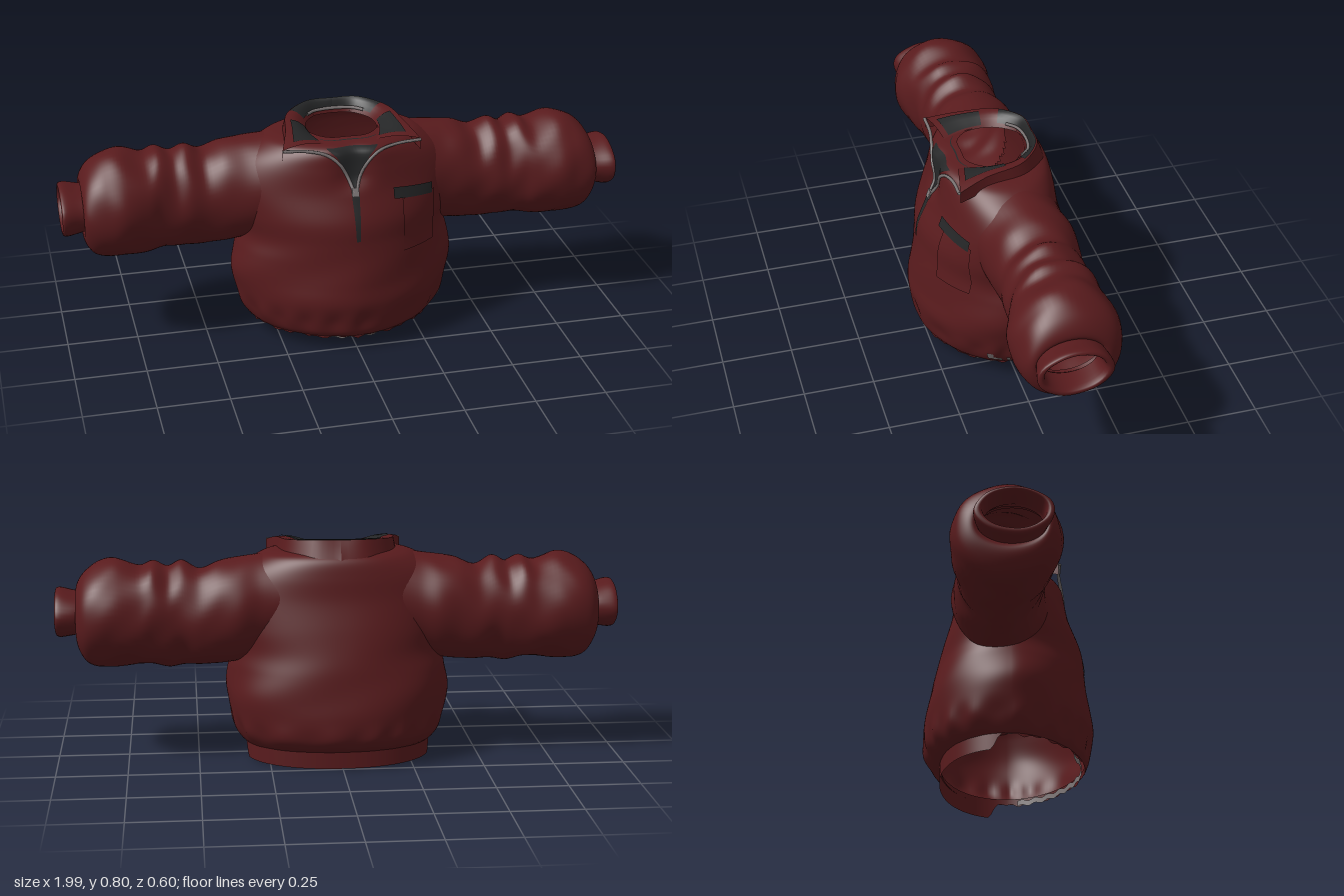
import * as THREE from 'three';

const cloth = (name, color) => {
  const m = new THREE.MeshStandardMaterial({ color, side: THREE.DoubleSide });
  m.name = name;
  return m;
};

// Smooth interpolation through the rows of a small table, t in 0..1
function sample(rows, t) {
  const n = rows.length - 1;
  const i = Math.min(n - 1, Math.floor(t * n));
  const f = t * n - i;
  const r = (k) => rows[Math.max(0, Math.min(n, k))];
  return rows[0].map((_, c) => {
    const [a, b, d, e] = [r(i - 1)[c], r(i)[c], r(i + 1)[c], r(i + 2)[c]];
    return b + 0.5 * f * (d - a + f * (2 * a - 5 * b + 4 * d - e + f * (3 * (b - d) + e - a)));
  });
}

// Sheet of quads from point(u, v); wraps in u when closed, drops quads where skip(centre) is true
function sheet(nu, nv, point, closed = false, skip = null) {
  const pos = [], index = [], cols = closed ? nu : nu + 1;
  for (let j = 0; j <= nv; j++)
    for (let i = 0; i < cols; i++) pos.push(...point(i / nu, j / nv));
  for (let j = 0; j < nv; j++)
    for (let i = 0; i < nu; i++) {
      const k = (i + 1) % cols;
      const a = j * cols + i, b = j * cols + k, c = a + cols, d = b + cols;
      if (skip && skip(...[0, 1, 2].map((q) => (pos[a * 3 + q] + pos[d * 3 + q]) / 2))) continue;
      index.push(a, c, b, b, c, d);
    }
  const g = new THREE.BufferGeometry();
  g.setAttribute('position', new THREE.Float32BufferAttribute(pos, 3));
  g.setIndex(index);
  g.computeVertexNormals();
  return g;
}

// Torso: y, half width, front z, back depth
const BODY = [
  [0.07, 0.335, 0.268, 0.235], [0.09, 0.352, 0.28, 0.27], [0.13, 0.372, 0.287, 0.297],
  [0.2, 0.39, 0.3, 0.3], [0.27, 0.4, 0.29, 0.292], [0.35, 0.387, 0.28, 0.277],
  [0.42, 0.372, 0.273, 0.26], [0.5, 0.39, 0.263, 0.24], [0.6, 0.405, 0.224, 0.212],
  [0.68, 0.365, 0.21, 0.2], [0.735, 0.295, 0.203, 0.187], [0.758, 0.235, 0.182, 0.165],
  [0.768, 0.13, 0.13, 0.135],
];
// Front is a little pointed, back a little square
const FRONT = 1.8, BACK = 2.15;
const sp = (v, e) => Math.sign(v) * Math.abs(v) ** (2 / e);
const oval = (th, a, f, b) => {
  const c = Math.cos(th), s = Math.sin(th), e = s > 0 ? FRONT : BACK;
  return [a * sp(c, e), (s > 0 ? f : b) * sp(s, e)];
};
// Neck opening sinks in between the collar fronts
const dent = (x, y) => 0.024 * Math.exp(-((x / 0.055) ** 2)) * THREE.MathUtils.smoothstep(y, 0.59, 0.66);

function bodyPoint(u, v) {
  const [y, a, f, b] = sample(BODY, v);
  const th = u * Math.PI * 2;
  const [x, z] = oval(th, a, f, b);
  const gather = 1 + 0.015 * Math.sin(17 * th + 2 * Math.sin(3 * th)) * Math.exp(-(((y - 0.13) / 0.04) ** 2))
    + 0.01 * Math.sin(5 * th + y * 22) * Math.exp(-(((y - 0.3) / 0.12) ** 2));
  return [x * gather, y, z * gather - (z > 0 ? dent(x, y) : 0)];
}

// Front surface depth of the torso at x, y
function frontZ(x, y) {
  let lo = 0, hi = 1;
  for (let i = 0; i < 24; i++) {
    const m = (lo + hi) / 2;
    if (sample(BODY, m)[0] < y) lo = m; else hi = m;
  }
  const [, a, f] = sample(BODY, lo);
  return f * (1 - Math.min(1, Math.abs(x) / a) ** FRONT) ** (1 / FRONT) - dent(x, y);
}

// Sleeve: x, top, bottom, front z, back z
const SLEEVE = [
  [0.2, 0.757, 0.41, 0.155, -0.185], [0.28, 0.746, 0.39, 0.14, -0.19], [0.35, 0.737, 0.372, 0.125, -0.205],
  [0.42, 0.728, 0.362, 0.115, -0.2], [0.49, 0.702, 0.358, 0.105, -0.195], [0.55, 0.727, 0.36, 0.11, -0.185],
  [0.6, 0.71, 0.355, 0.11, -0.188], [0.65, 0.73, 0.36, 0.12, -0.195], [0.7, 0.714, 0.36, 0.14, -0.2],
  [0.78, 0.736, 0.355, 0.158, -0.205], [0.84, 0.725, 0.355, 0.152, -0.203], [0.885, 0.697, 0.372, 0.143, -0.19],
  [0.912, 0.662, 0.41, 0.128, -0.162], [0.92, 0.63, 0.45, 0.108, -0.132], [0.9, 0.61, 0.48, 0.09, -0.11],
];
const CUFF = [
  [0.88, 0.615, 0.475, 0.1, -0.115], [0.93, 0.622, 0.466, 0.11, -0.128], [0.975, 0.632, 0.458, 0.122, -0.132],
  [0.992, 0.628, 0.465, 0.12, -0.125], [0.985, 0.617, 0.482, 0.1, -0.105], [0.91, 0.612, 0.488, 0.092, -0.1],
];
const tube = (rows, side, wrinkle) => (u, v) => {
  const [x, top, bot, f, b] = sample(rows, v);
  const th = u * Math.PI * 2;
  const k = 1 + wrinkle * (Math.sin(4 * th + x * 26) + 0.6 * Math.sin(7 * th - x * 40)) * Math.sin(v * Math.PI);
  return [side * x, (top + bot) / 2 + (top - bot) / 2 * Math.sin(th) * k, (f + b) / 2 + (f - b) / 2 * Math.cos(th) * k];
};

// Collar from centre back to front corner: neck x y z, then outer edge x y z
const COLLAR = [
  [0, 0.762, -0.13, 0, 0.812, -0.148], [0.07, 0.762, -0.115, 0.095, 0.812, -0.14],
  [0.118, 0.765, -0.04, 0.182, 0.802, -0.06], [0.118, 0.765, 0.05, 0.212, 0.79, 0.07],
  [0.085, 0.76, 0.14, 0.243, 0.764, 0.172],
];
const collarPoint = (side, lift = 0, [u0, u1] = [0, 1], [v0, v1] = [0, 1]) => (u, v) => {
  const t = u0 + (u1 - u0) * u;
  const p = sample(COLLAR, v0 + (v1 - v0) * v);
  const mix = (k) => p[k] + (p[k + 3] - p[k]) * t;
  return [side * mix(0), mix(1) + 0.012 * Math.sin(t * Math.PI) + lift, mix(2) + lift];
};

export function createModel() {
  const red = cloth('maroon fleece', 0x591b1d);
  const dark = cloth('charcoal lining', 0x242526);
  const grey = cloth('grey metal', 0x7d7676);
  const root = new THREE.Group();
  const add = (name, geometry, material) => {
    const m = new THREE.Mesh(geometry, material);
    m.name = name;
    root.add(m);
    return m;
  };

  // Torso, open where the sleeves join
  const armhole = (x, y, z) => Math.abs(x) > 0.2 && ((y - 0.555) / 0.165) ** 2 + ((z + 0.02) / 0.125) ** 2 < 1;
  add('torso', sheet(144, 84, bodyPoint, true, armhole), red);

  // Hem band: long at the back, short and ragged at the front
  add('hemBand', sheet(120, 5, (u, v) => {
    const th = u * Math.PI * 2;
    const [x, z] = oval(th, 0.332, 0.268, 0.242);
    const short = THREE.MathUtils.smoothstep(z, -0.07, -0.035);
    const low = 0.014 + short * (0.052 + 0.008 * Math.sin(23 * th) * Math.sin(9 * th));
    return [x, 0.09 + (low - 0.09) * v, z];
  }, true), red);

  // Grey tape lining the front hem, and worn spots on the left of the hem
  add('hemTape', sheet(60, 2, (u, v) => {
    const th = Math.PI * (0.06 + 0.6 * u);
    const [x, z] = oval(th, 0.32, 0.256, 0.256);
    return [x, 0.058 + 0.02 * v + 0.004 * Math.sin(31 * th), z];
  }), grey);
  for (const [z, y, w, h] of [[0.095, 0.115, 0.02, 0.032], [0.07, 0.104, 0.03, 0.014], [0.034, 0.107, 0.013, 0.022]])
    add('hemSpot', sheet(3, 3, (u, v) => {
      const yy = y + (v - 0.5) * h, zz = z + (u - 0.5) * w + (v - 0.5) * 0.008;
      const [, a, f] = sample(BODY, (1 + (yy - 0.09) / 0.04) / (BODY.length - 1));
      return [a * (1 - (zz / f) ** FRONT) ** (1 / FRONT) + 0.008, yy, zz];
    }), grey);

  for (const side of [1, -1]) {
    const label = side > 0 ? 'left' : 'right';
    add(label + 'Sleeve', sheet(56, 84, tube(SLEEVE, side, 0.016), true), red);
    add(label + 'Cuff', sheet(40, 25, tube(CUFF, side, 0.012), true), red);

    // Collar flap, its outer wall running down onto the shoulders, and its dark facing
    add(label + 'Collar', sheet(6, 24, collarPoint(side)), red);
    add(label + 'CollarFall', sheet(4, 24, (u, v) => {
      const p = sample(COLLAR, v);
      return [side * p[3] * (1 + 0.14 * u * (1 - v)), p[4] - u * (0.072 - 0.03 * v), p[5] - 0.036 * u * (1 - v) ** 2];
    }), red);
    add(label + 'CollarFacing', sheet(4, 12, collarPoint(side, 0.003, [0.08, 0.74], [0.6, 0.92])), dark);
    add(label + 'CollarBackFacing', sheet(4, 12, collarPoint(side, 0.003, [0.15, 0.95], [0, 0.45])), dark);

    // Grey tape along the back of the neck
    const neck = [0, 0.12, 0.25, 0.36].map((v) => new THREE.Vector3(...collarPoint(side, 0.006)(0.16, v)));
    add(label + 'NeckTape', new THREE.TubeGeometry(new THREE.CatmullRomCurve3(neck), 20, 0.006, 5), grey);

    // Zip teeth running from the collar corner to the base of the opening
    const path = [[0.243, 0.762], [0.16, 0.755], [0.095, 0.74], [0.05, 0.705], [0.022, 0.655], [0.004, 0.605]];
    const pts = path.map(([x, y], i) => new THREE.Vector3(side * x, y, i < 2 ? 0.176 : frontZ(x, y) + 0.003));
    add(label + 'ZipTeeth', new THREE.TubeGeometry(new THREE.CatmullRomCurve3(pts), 40, 0.006, 5), grey);
  }

  // Patch lying on the chest: x limits depend on height
  const patch = (name, y0, y1, limits, lift, material, tilt = 0) =>
    add(name, sheet(14, 14, (u, v) => {
      const y = y0 + (y1 - y0) * v;
      const [l, r] = limits(y);
      const x = l + (r - l) * u, yy = y + tilt * (x - l);
      return [x, yy, frontZ(x, yy) + lift];
    }), material);

  // Dark lining of the neck opening
  const OPEN = [[0.002], [0.012], [0.025], [0.042], [0.062], [0.1]];
  patch('neckLining', 0.6, 0.766, (y) => {
    const w = sample(OPEN, (y - 0.6) / 0.166)[0];
    return [-w, w];
  }, 0.004, dark);

  // Closed zip and puller
  patch('zipTape', 0.44, 0.61, (y) => [-0.007 - (y - 0.44) * 0.04, 0.007 + (y - 0.44) * 0.04], 0.003, dark);
  const puller = add('zipPuller', new THREE.BoxGeometry(0.024, 0.03, 0.008), grey);
  puller.position.set(0, 0.607, frontZ(0, 0.607) + 0.004);
  puller.rotation.x = -0.35;

  // Chest pocket and its dark opening
  patch('chestPocket', 0.375, 0.562, () => [0.17, 0.3], 0.006, red);
  patch('pocketOpening', 0.568, 0.606, () => [0.138, 0.292], 0.008, dark, -0.12);

  return root;
}
